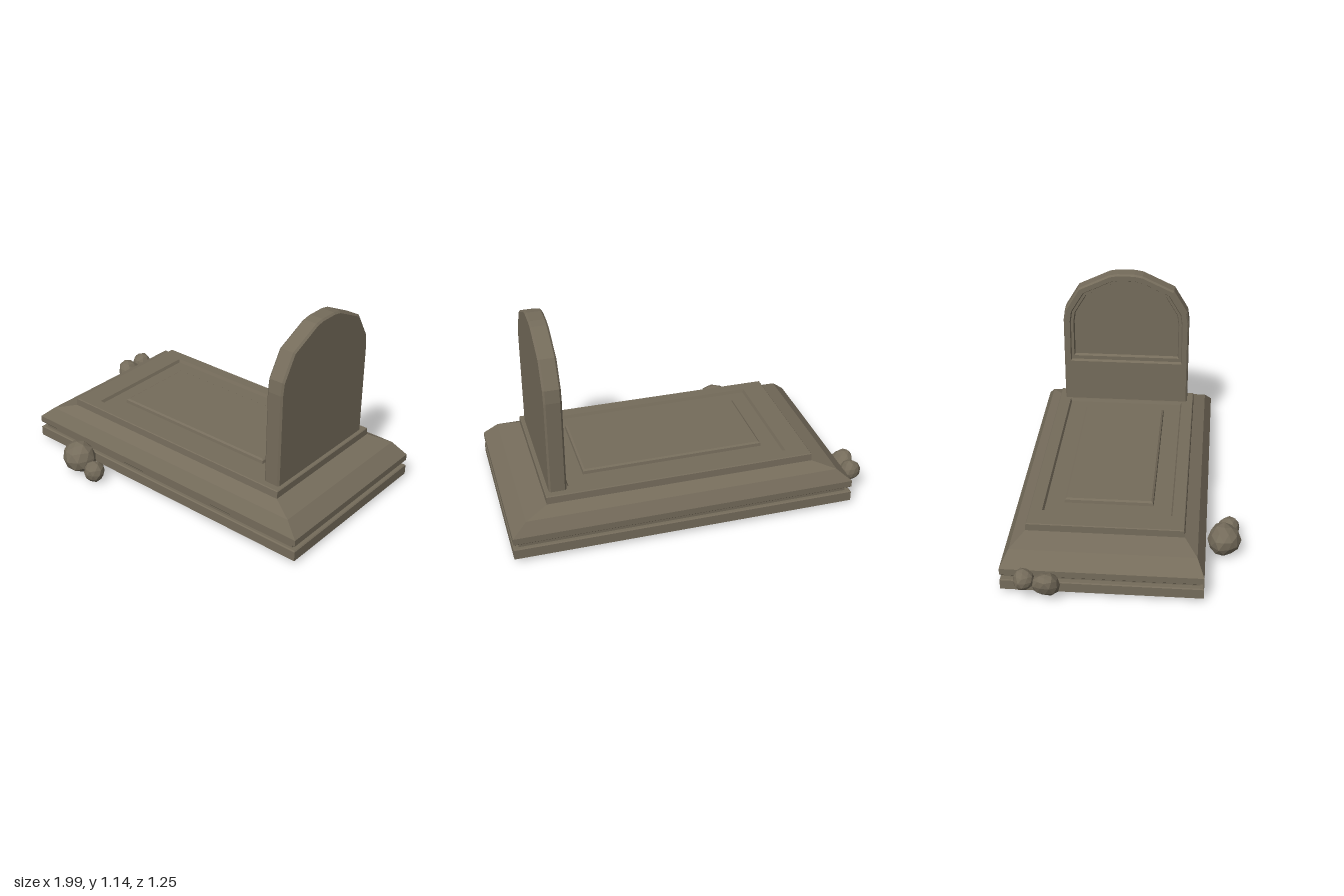
import * as THREE from 'three';

const CX = 0.057, CZ = -0.095; // shared centre of slab and headstone

// Skin a series of convex rings (counter-clockwise seen from the last ring) and cap both ends.
function loft(rings) {
  const pos = [];
  const tri = (a, b, c) => pos.push(...a, ...b, ...c);
  const n = rings[0].length;
  for (let i = 0; i < rings.length - 1; i++) {
    for (let j = 0; j < n; j++) {
      const k = (j + 1) % n, lo = rings[i], hi = rings[i + 1];
      tri(lo[j], lo[k], hi[k]);
      tri(lo[j], hi[k], hi[j]);
    }
  }
  const first = rings[0], last = rings[rings.length - 1];
  for (let j = 1; j < n - 1; j++) {
    tri(first[0], first[j + 1], first[j]);
    tri(last[0], last[j], last[j + 1]);
  }
  const geo = new THREE.BufferGeometry();
  geo.setAttribute('position', new THREE.Float32BufferAttribute(pos, 3));
  geo.computeVertexNormals();
  return geo;
}

// Horizontal rectangle by half sizes and height
const rect = ([hx, hz, y]) => [
  [CX + hx, y, CZ + hz], [CX + hx, y, CZ - hz], [CX - hx, y, CZ - hz], [CX - hx, y, CZ + hz],
];

// Upright arch outline at depth x, scaled about the arch centre, with its sill at yb
const ARCH = [[0.38, 0.075], [0.37, 0.145], [0.288, 0.282], [0.1, 0.371], [0.05, 0.38]];
function arch([x, s, yb]) {
  const half = ARCH.map(([z, y]) => [z * s, 0.765 + y * s]);
  const mirrored = half.map(([z, y]) => [-z, y]).reverse();
  const outline = [[-0.38 * s, yb], [0.38 * s, yb], ...half, ...mirrored];
  return outline.map(([z, y]) => [x, y, CZ + z]);
}

// Lumpy faceted stone
function rockGeometry(seed) {
  const geo = new THREE.IcosahedronGeometry(1, 1);
  const p = geo.attributes.position, v = new THREE.Vector3();
  for (let i = 0; i < p.count; i++) {
    v.fromBufferAttribute(p, i);
    const lump = Math.sin(v.x * 3.1 + seed) + Math.sin(v.y * 3.7 + seed * 2) + Math.sin(v.z * 4.3 + seed * 3);
    v.multiplyScalar(0.98 + 0.04 * lump);
    p.setXYZ(i, v.x, v.y, v.z);
  }
  geo.computeVertexNormals();
  return geo;
}

export function createModel() {
  const group = new THREE.Group();
  const stone = new THREE.MeshStandardMaterial({ color: 0x756c5b });
  stone.name = 'weathered stone';
  stone.flatShading = true;

  const add = (name, geo) => {
    const mesh = new THREE.Mesh(geo, stone);
    mesh.name = name;
    group.add(mesh);
    return mesh;
  };

  // Plinth, groove, sloped moulding, rim, sunken border and raised panel
  add('graveSlab', loft([
    [0.943, 0.53, 0.03], [0.943, 0.53, 0.085], [0.938, 0.525, 0.09],
    [0.913, 0.51, 0.09], [0.913, 0.51, 0.117],
    [0.938, 0.525, 0.117], [0.943, 0.53, 0.122], [0.943, 0.53, 0.158],
    [0.863, 0.49, 0.228], [0.74, 0.42, 0.263],
    [0.74, 0.417, 0.302], [0.736, 0.413, 0.306],
    [0.613, 0.348, 0.306], [0.605, 0.34, 0.289],
    [0.508, 0.242, 0.289], [0.505, 0.239, 0.306], [0.495, 0.229, 0.313],
  ].map(rect)));

  // Arched headstone, plain behind, with a stepped recess on the side facing the slab
  add('headstone', loft([
    [0.775, 0.975, 0.3], [0.765, 1, 0.3], [0.69, 1, 0.3], [0.68, 0.975, 0.3],
    [0.68, 0.9, 0.565], [0.692, 0.885, 0.575],
    [0.692, 0.845, 0.598], [0.708, 0.83, 0.606],
  ].map(arch)));

  // Loose stones: position, radii, tilt about z, seed
  const rocks = [
    [[-0.46, 0.1, 0.532], [0.105, 0.095, 0.088], -0.4, 1],
    [[-0.31, 0.073, 0.56], [0.064, 0.058, 0.062], -0.5, 2.3],
    [[-0.925, 0.108, -0.375], [0.054, 0.1, 0.075], 0.6, 4],
    [[-0.935, 0.14, -0.49], [0.057, 0.056, 0.06], 0.4, 5.2],
  ];
  rocks.forEach(([position, radii, tilt, seed], i) => {
    const rock = add('rock' + (i + 1), rockGeometry(seed));
    rock.position.set(...position);
    rock.scale.set(...radii);
    rock.rotation.z = tilt;
  });

  return group;
}
